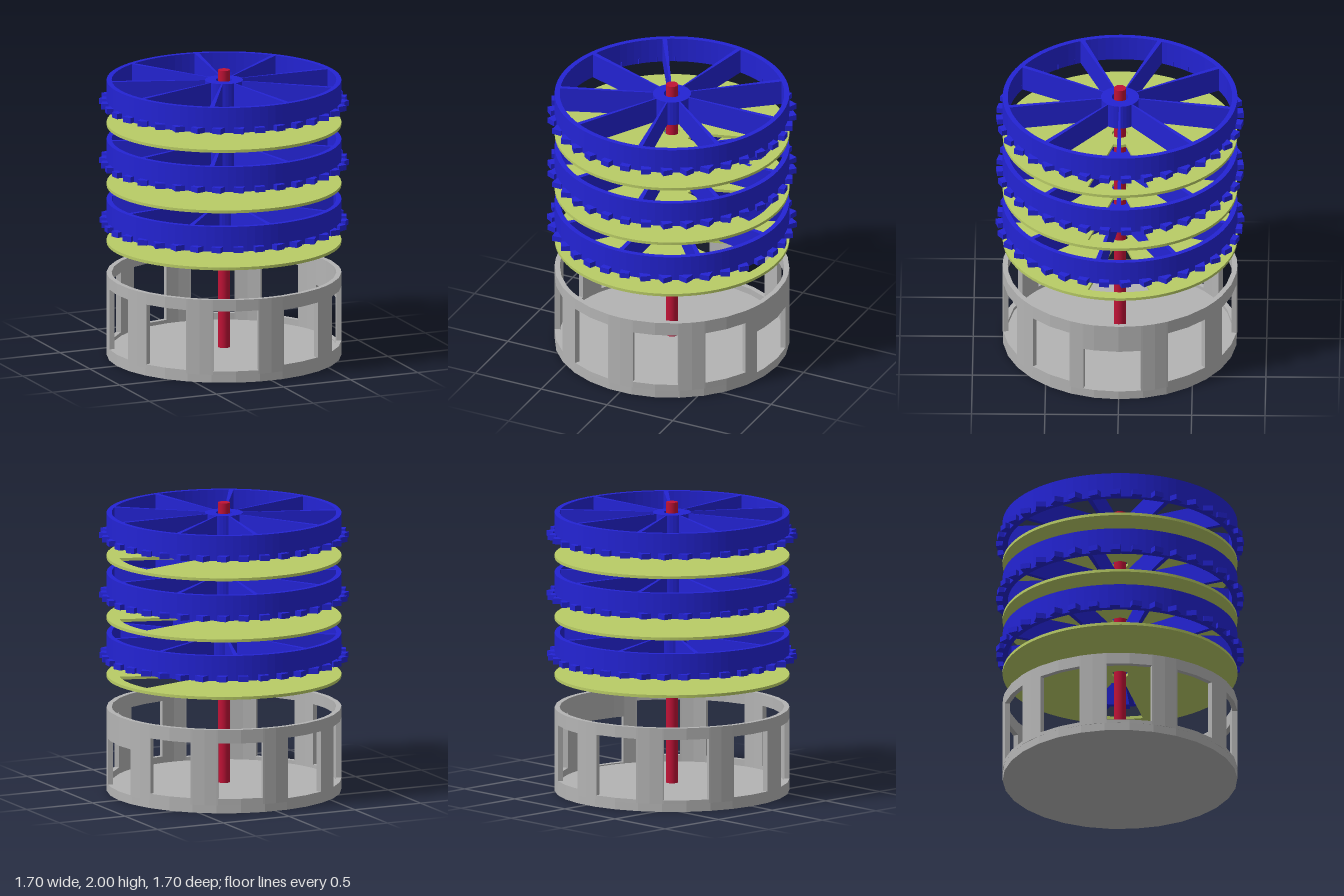
import * as THREE from 'three';

const RAD = Math.PI / 180;
const mat = (name, color) => {
  const m = new THREE.MeshStandardMaterial({ color });
  m.name = name;
  return m;
};

// Points along an arc, with vertices on multiples of `step` plus both ends
function arc(r, a, b, step) {
  const angles = [a];
  for (let k = Math.floor(a / step) + 1; k * step < b - 0.01; k++) angles.push(k * step);
  angles.push(b);
  return angles.map(d => new THREE.Vector2(r * Math.cos(d * RAD), r * Math.sin(d * RAD)));
}

const circle = (r, step) => arc(r, 0, 360, step).slice(0, -1);
const sector = (r0, r1, a, b, step) => [...arc(r1, a, b, step), ...arc(r0, a, b, step).reverse()];

// Upright prism from a plan outline between two heights
function prism(name, material, points, y0, y1, holes = []) {
  const shape = new THREE.Shape(points);
  holes.forEach(h => shape.holes.push(new THREE.Path(h)));
  const geo = new THREE.ExtrudeGeometry(shape, { depth: y1 - y0, bevelEnabled: false });
  geo.rotateX(-Math.PI / 2);
  geo.translate(0, y0, 0);
  const mesh = new THREE.Mesh(geo, material);
  mesh.name = name;
  return mesh;
}

// Faceted drum with a floor, nine windows and one lower doorway on +x
function makeBase(material) {
  const base = new THREE.Group();
  base.name = 'base';
  const R = 0.8, r = 0.765, step = 12, floor = 0.055, top = 0.58;
  base.add(prism('baseFloor', material, circle(R, step), 0, floor));
  for (let k = 0; k < 10; k++) {
    const c = k * 36;
    let a = c - 11.2, b = c + 11.2, low = 0.1, high = 0.485;
    if (k === 0) { a = -17.5; b = 11; low = 0.062; high = 0.38; }
    else if (k > 2 && k < 8) { low = 0.08; high = 0.5; }
    base.add(
      prism('wallPost', material, sector(r, R, c - 18, a, step), floor, top),
      prism('wallPost', material, sector(r, R, b, c + 18, step), floor, top),
      prism('windowSill', material, sector(r, R, a, b, step), floor, low),
      prism('windowLintel', material, sector(r, R, a, b, step), high, top));
  }
  return base;
}

// Spoked wheel with a toothed lower edge
function makeWheel(material) {
  const wheel = new THREE.Group();
  wheel.name = 'wheel';
  const h = 0.175;
  wheel.add(
    prism('rim', material, circle(0.8, 4), 0, h, [circle(0.765, 4)]),
    prism('hub', material, circle(0.13, 10), 0, h, [circle(0.056, 10)]));
  // Spokes widen from hub to rim
  const spoke = [[0.125, -0.005], [0.768, -0.016], [0.768, 0.016], [0.125, 0.005]]
    .map(p => new THREE.Vector2(...p));
  for (let i = 0; i < 9; i++) {
    const s = prism('spoke', material, spoke, 0, h);
    s.rotation.y = i * 40 * RAD;
    wheel.add(s);
  }
  // Square teeth that turn progressively around the rim
  const toothGeo = new THREE.BoxGeometry(0.068, 0.038, 0.068);
  for (let i = 0; i < 36; i++) {
    const d = (i * 10 + 3.5) * RAD;
    const tooth = new THREE.Mesh(toothGeo, material);
    tooth.name = 'tooth';
    tooth.position.set(0.807 * Math.cos(d), 0.019, -0.807 * Math.sin(d));
    tooth.rotation.y = 2 * d;
    wheel.add(tooth);
  }
  return wheel;
}

export function createModel() {
  const blue = mat('wheelBlue', 0x2323d4);
  const green = mat('discGreen', 0xb9cc66);
  const grey = mat('baseGrey', 0xb4b4b4);
  const red = mat('rodRed', 0xc01236);

  const model = new THREE.Group();
  model.name = 'wheelTower';
  model.add(makeBase(grey));

  // Central rod
  const rod = new THREE.Mesh(new THREE.CylinderGeometry(0.041, 0.041, 1.95, 32), red);
  rod.name = 'rod';
  rod.position.y = 1.025;
  model.add(rod);

  // Thin discs, each with a rod hole and a wedge opening toward +x
  [0.79, 1.19, 1.615].forEach(y => model.add(prism('disc', green, circle(0.8, 4), y, y + 0.02,
    [circle(0.056, 10), sector(0.147, 0.722, -17, 17, 4)])));

  // Wheels, the lowest one turned slightly
  [[0.92, -10.5], [1.34, 0], [1.755, 0]].forEach(([y, turn]) => {
    const wheel = makeWheel(blue);
    wheel.position.y = y;
    wheel.rotation.y = turn * RAD;
    model.add(wheel);
  });

  return model;
}
